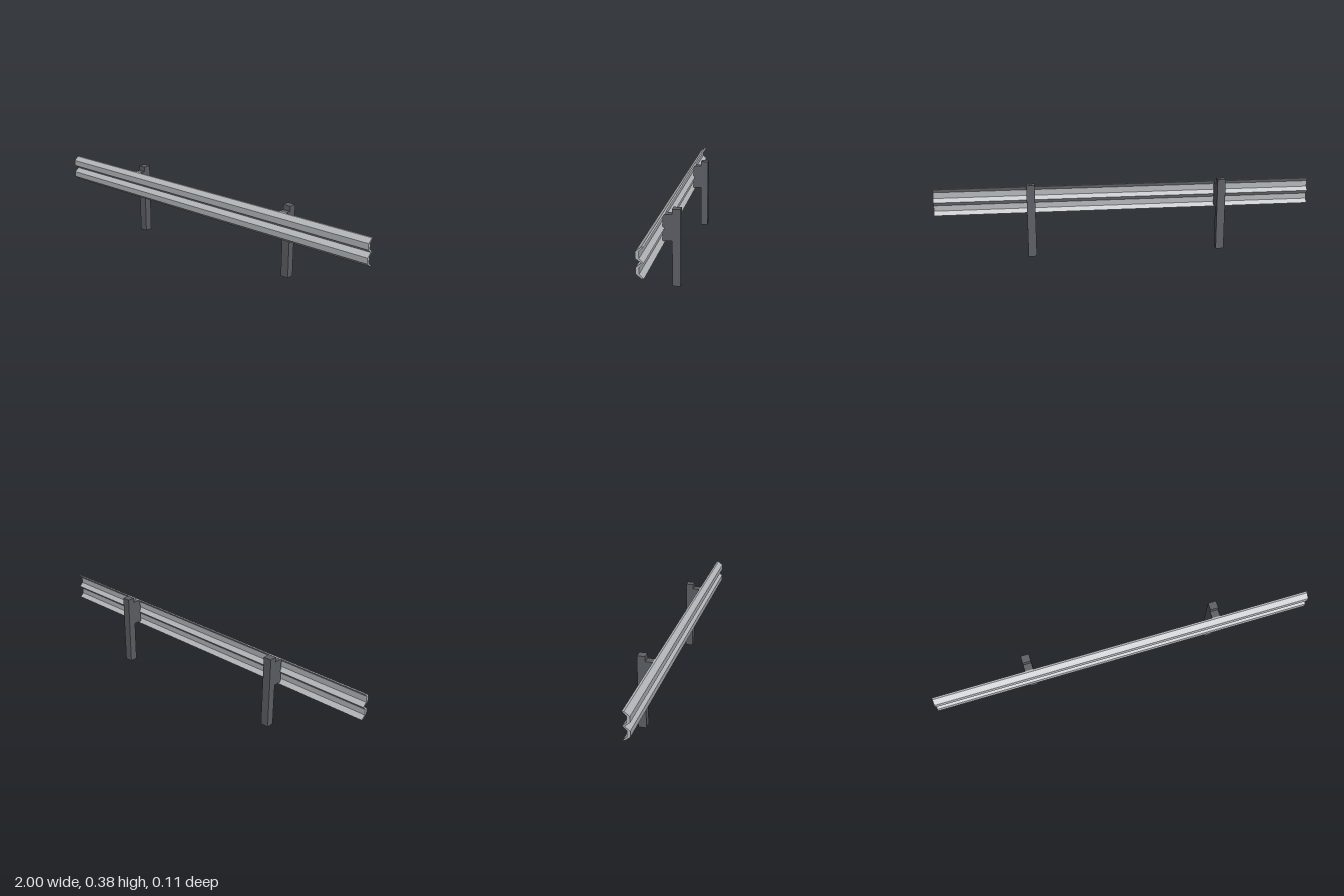
import * as THREE from 'three';

export function createModel() {
  const model = new THREE.Group();
  model.name = 'guardRail';

  const railSteel = new THREE.MeshStandardMaterial({ color: 0xb4b8bc });
  railSteel.name = 'light steel';
  const postSteel = new THREE.MeshStandardMaterial({ color: 0x5c5f65 });
  postSteel.name = 'dark steel';

  // W-shaped rail section as [z, y], front face from top to bottom, then the back face up again
  const front = [
    [0.031, 0.356], [0.056, 0.336], [0.056, 0.305], [0.031, 0.286],
    [0.056, 0.266], [0.056, 0.237], [0.031, 0.217],
  ];
  const back = [
    [0.021, 0.356], [0.041, 0.336], [0.041, 0.305], [0.021, 0.286],
    [0.041, 0.266], [0.041, 0.237], [0.021, 0.217],
  ];
  // Drawn with x = -z so that a quarter turn sweeps the section along x
  const section = new THREE.Shape(
    [...front, ...back.reverse()].map(([z, y]) => new THREE.Vector2(-z, y))
  );
  const railGeometry = new THREE.ExtrudeGeometry(section, { depth: 2, bevelEnabled: false });
  railGeometry.translate(0, 0, -1);
  railGeometry.rotateY(Math.PI / 2);
  const rail = new THREE.Mesh(railGeometry, railSteel);
  rail.name = 'rail';
  model.add(rail);

  // Box given by its lower and upper limits in y and z
  const addBox = (name, x, y0, y1, z0, z1) => {
    const mesh = new THREE.Mesh(new THREE.BoxGeometry(0.043, y1 - y0, z1 - z0), postSteel);
    mesh.position.set(x, (y0 + y1) / 2, (z0 + z1) / 2);
    mesh.name = name;
    model.add(mesh);
  };

  // Posts with the spacer blocks that carry the rail
  for (const [side, x] of [['left', 0.5], ['right', -0.5]]) {
    addBox(side + 'Post', x, 0, 0.381, -0.055, -0.015);
    addBox(side + 'SpacerBlock', x, 0.225, 0.355, -0.015, 0.03);
  }

  return model;
}
